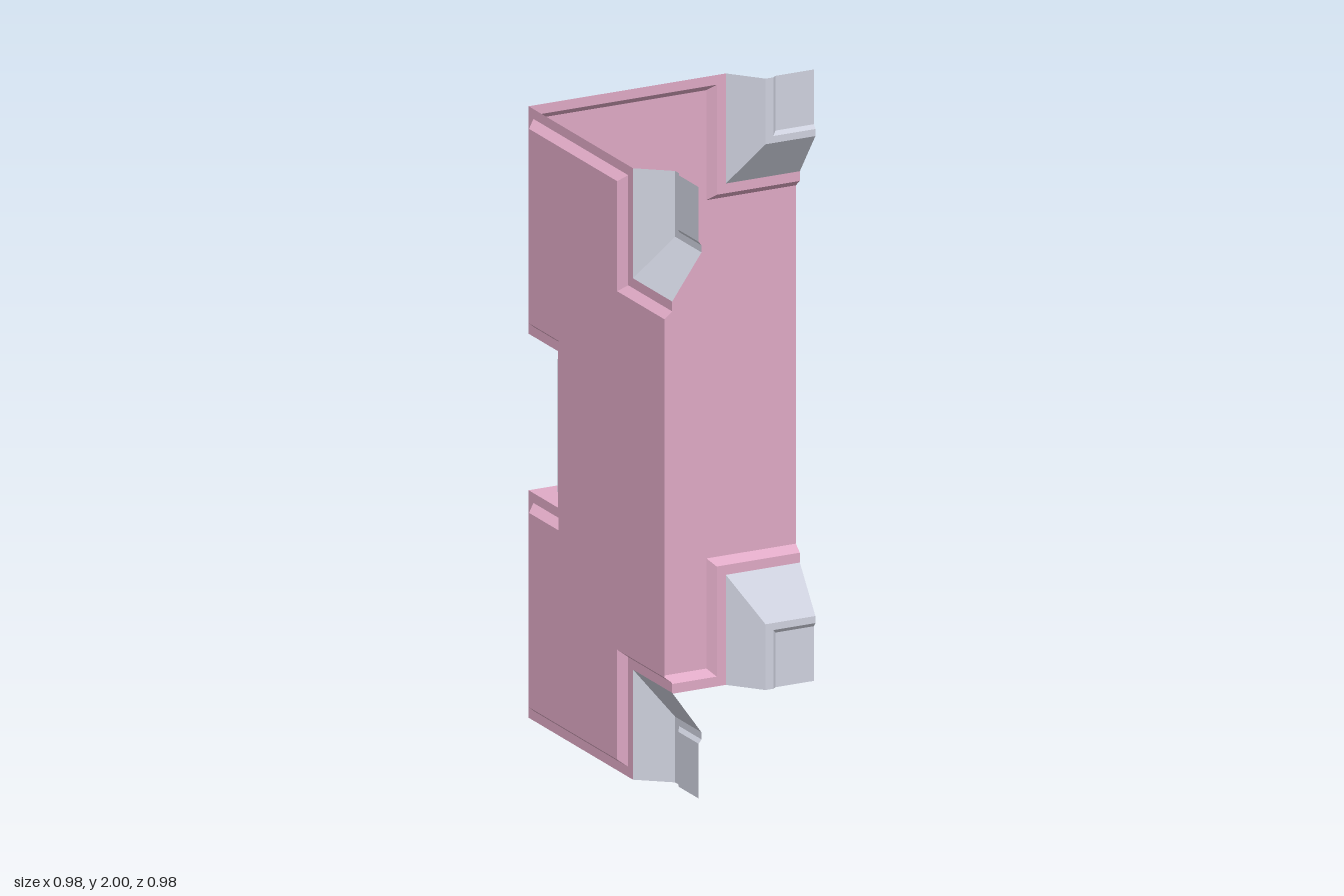
import * as THREE from 'three';

const paint = (name, color) => new THREE.MeshStandardMaterial({ name, color, side: THREE.DoubleSide });

const OUT = -0.49, BASE = -0.463, FOOT = -0.36, INSET = -0.37;

// Strip of flat quads between two matching paths of [x, y, z] points
function strip(a, b, closed = false) {
  const tris = [];
  const n = closed ? a.length : a.length - 1;
  for (let i = 0; i < n; i++) {
    const j = (i + 1) % a.length;
    tris.push(a[i], b[i], b[j], a[i], b[j], a[j]);
  }
  return tris;
}

// Flat polygon at depth z
function sheet(path, z) {
  const shape = new THREE.Shape(path.map(p => new THREE.Vector2(p[0], p[1])));
  const pos = new THREE.ShapeGeometry(shape).toNonIndexed().attributes.position;
  return Array.from({ length: pos.count }, (_, i) => [pos.getX(i), pos.getY(i), z]);
}

function mesh(name, material, tris, swap = false) {
  // Swapping x and z mirrors a part onto the other wall; the order is reversed to match
  const points = swap ? tris.map(([x, y, z]) => [z, y, x]).reverse() : tris;
  const g = new THREE.BufferGeometry();
  g.setAttribute('position', new THREE.Float32BufferAttribute(points.flat(), 3));
  g.computeVertexNormals();
  const m = new THREE.Mesh(g, material);
  m.name = name;
  return m;
}

// Wall outline, upper half: x, height above the middle, inward direction x, y
const HALF = [
  [0.49, 0.64, 0, -1], [0.23, 0.64, -1, -1], [0.23, 1, -1, -1],
  [BASE, 1, 1, -1], [BASE, 0.256, 1, 1], [-0.267, 0.256, 1, 1],
];

function wallPath(inset, z) {
  const top = HALF.map(([x, h, sx, sy]) => [x + sx * inset, h + sy * inset]);
  const low = [...top].reverse().map(([x, h]) => [x, -h]);
  return [...top, ...low].map(([x, h]) => [x, 1 + h, z]);
}

function makeWall(name, pink, grey, swap) {
  const wall = new THREE.Group();
  wall.name = name;
  const edge = wallPath(0, BASE), rim = wallPath(0.032, BASE), panel = wallPath(0.054, OUT);
  wall.add(
    mesh('border', pink, strip(edge, rim), swap),
    mesh('bevel', pink, strip(rim, panel), swap),
    mesh('panel', pink, sheet(panel, OUT), swap),
  );
  // Stepped corner brackets at the top and bottom of the free edge
  for (const s of [1, -1]) {
    const bend = (x, h, z) => [[0.49, h], [x, h], [x, 1]].map(([px, ph]) => [px, 1 + s * ph, z]);
    const steps = [
      bend(0.23, 0.64, BASE), bend(0.315, 0.785, FOOT),
      bend(0.342, 0.808, FOOT), bend(0.355, 0.821, INSET),
    ];
    const tris = [];
    for (let i = 0; i < 3; i++) tris.push(...strip(steps[i], steps[i + 1]));
    const [a, b, c] = steps[3];
    const d = [0.49, 1 + s, INSET];
    tris.push(a, b, c, a, c, d);
    if (s < 0) tris.reverse();
    wall.add(mesh(s > 0 ? 'upperBracket' : 'lowerBracket', grey, tris, swap));
  }
  return wall;
}

export function createModel() {
  const pink = paint('pink', 0xe0aac6);
  const grey = paint('light grey', 0xd0d3e0);
  const frameGrey = paint('frame grey', 0xc6d0d6);

  const model = new THREE.Group();
  model.name = 'cornerWall';
  model.add(makeWall('backWall', pink, grey, false), makeWall('sideWall', pink, grey, true));

  // Triangular ledges closing the cut-out in the corner
  for (const s of [1, -1]) {
    const y = 1 + s * 0.256;
    const tri = [[BASE, y, BASE], [BASE, y, -0.267], [-0.267, y, BASE]];
    model.add(mesh(s > 0 ? 'upperLedge' : 'lowerLedge', pink, s > 0 ? tri.reverse() : tri));
  }

  // Diagonal plate with a recessed middle
  const plate = new THREE.Group();
  plate.name = 'diagonalPlate';
  const rect = (u, v, z) => [[-u, -v, z], [u, -v, z], [u, v, z], [-u, v, z]];
  const outer = rect(0.1386, 0.256, 0), lip = rect(0.112, 0.23, 0), inner = rect(0.1, 0.216, -0.014);
  plate.add(
    mesh('plateFrame', frameGrey, strip(lip, outer, true)),
    mesh('plateBevel', grey, strip(inner, lip, true)),
    mesh('plateInset', grey, sheet(inner, -0.014)),
  );
  plate.position.set(-0.365, 1, -0.365);
  plate.rotation.y = Math.PI / 4;
  model.add(plate);

  return model;
}
